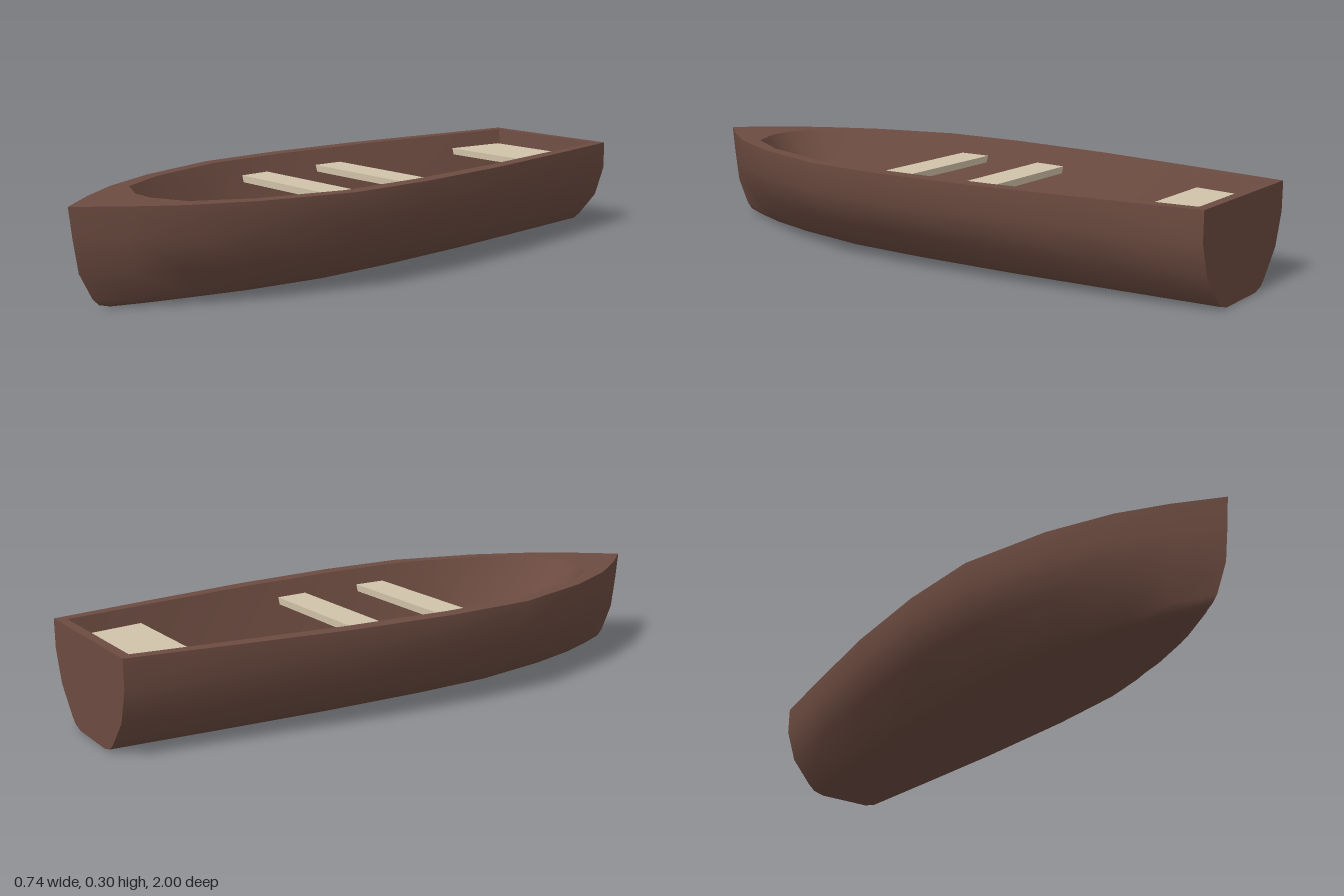
import * as THREE from 'three';

// Half-outlines as [half width, z], from stern to bow
const outerRim = [[0.25, -1], [0.298, -0.68], [0.345, -0.34], [0.368, 0], [0.36, 0.28], [0.28, 0.56], [0.19, 0.75], [0.1, 0.88], [0, 1]];
const innerRim = [[0.22, -0.97], [0.257, -0.68], [0.298, -0.34], [0.32, 0], [0.315, 0.28], [0.24, 0.55], [0.15, 0.71], [0.04, 0.76]];
const floorEdge = [[0.167, -0.945], [0.195, -0.66], [0.222, -0.34], [0.24, 0], [0.235, 0.28], [0.19, 0.41], [0.11, 0.56], [0.04, 0.615]];
const RIM_Y = 0.3, FLOOR_Y = 0.09;

// Hull levels from rim to keel: [height, width factor, bow z]
const levels = [[0.3, 1, 1], [0.21, 1, 0.99], [0.11, 0.87, 0.975], [0.03, 0.6, 0.935], [0.01, 0.51, 0.915], [0, 0.36, 0.88], [0, 0, 0.88]];

// Skin over a grid of points; smooth normals
function loft(rows, flip) {
  const n = rows[0].length, index = [];
  for (let i = 0; i < rows.length - 1; i++) {
    for (let j = 0; j < n - 1; j++) {
      const a = i * n + j, b = a + 1, c = a + n, d = c + 1;
      if (flip) index.push(a, c, b, b, c, d);
      else index.push(a, b, c, b, d, c);
    }
  }
  const g = new THREE.BufferGeometry();
  g.setAttribute('position', new THREE.Float32BufferAttribute(rows.flat(2), 3));
  g.setIndex(index);
  g.computeVertexNormals();
  return g;
}

// Full closed outline: +x side to the bow, then back along -x
const around = half => [...half, ...half.filter(p => p[0] > 0).reverse().map(([x, z]) => [-x, z])];
const points2 = half => around(half).map(([x, z]) => new THREE.Vector2(x, -z));
const ring3 = (half, y) => around(half).map(([x, z]) => [x, y, z]);

export function createModel() {
  const boat = new THREE.Group();
  boat.name = 'rowingBoat';
  const wood = new THREE.MeshStandardMaterial({ color: 0x6d4c41 });
  wood.name = 'brownWood';
  const plank = new THREE.MeshStandardMaterial({ color: 0xd1c3aa });
  plank.name = 'paleWood';

  function add(name, geometry, material) {
    const mesh = new THREE.Mesh(geometry, material);
    mesh.name = name;
    boat.add(mesh);
    return mesh;
  }

  // Outer hull, one half per side so the stem stays sharp
  for (const side of [1, -1]) {
    const rows = levels.map(([y, w, bow]) =>
      outerRim.map(([x, z]) => [side * x * w, y, z > 0 ? z * bow : z]));
    add(side > 0 ? 'hullLeft' : 'hullRight', loft(rows, side < 0), wood);
  }

  // Flat stern board
  const section = levels.slice(0, -1).map(([y, w]) => [outerRim[0][0] * w, y]);
  const sternShape = new THREE.Shape(
    [...section, ...section.map(([x, y]) => [-x, y]).reverse()].map(p => new THREE.Vector2(...p)));
  add('stern', new THREE.ShapeGeometry(sternShape).rotateY(Math.PI).translate(0, 0, -1), wood);

  // Gunwale with the open cockpit cut out
  const rim = new THREE.Shape(points2(outerRim));
  rim.holes.push(new THREE.Path(points2(innerRim)));
  add('gunwale', new THREE.ShapeGeometry(rim).rotateX(-Math.PI / 2).translate(0, RIM_Y, 0), wood);

  // Sloping inner walls, stern inner wall and floor
  const top = ring3(innerRim, RIM_Y), bottom = ring3(floorEdge, FLOOR_Y);
  add('innerWall', loft([top, bottom], true), wood);
  add('innerStern', loft([[top.at(-1), top[0]], [bottom.at(-1), bottom[0]]], true), wood);
  add('floor', new THREE.ShapeGeometry(new THREE.Shape(points2(floorEdge)))
    .rotateX(-Math.PI / 2).translate(0, FLOOR_Y, 0), wood);

  // Bench planks: [name, back z, back half width, front z, front half width]
  const benches = [
    ['sternBench', -0.95, 0.205, -0.735, 0.236],
    ['middleBench', -0.23, 0.288, -0.125, 0.297],
    ['frontBench', 0.08, 0.299, 0.185, 0.297],
  ];
  for (const [name, z0, w0, z1, w1] of benches) {
    const shape = new THREE.Shape(points2([[w0, z0], [w1, z1]]));
    const g = new THREE.ExtrudeGeometry(shape, { depth: 0.022, bevelEnabled: false });
    add(name, g.rotateX(-Math.PI / 2).translate(0, 0.228, 0), plank);
  }
  return boat;
}
